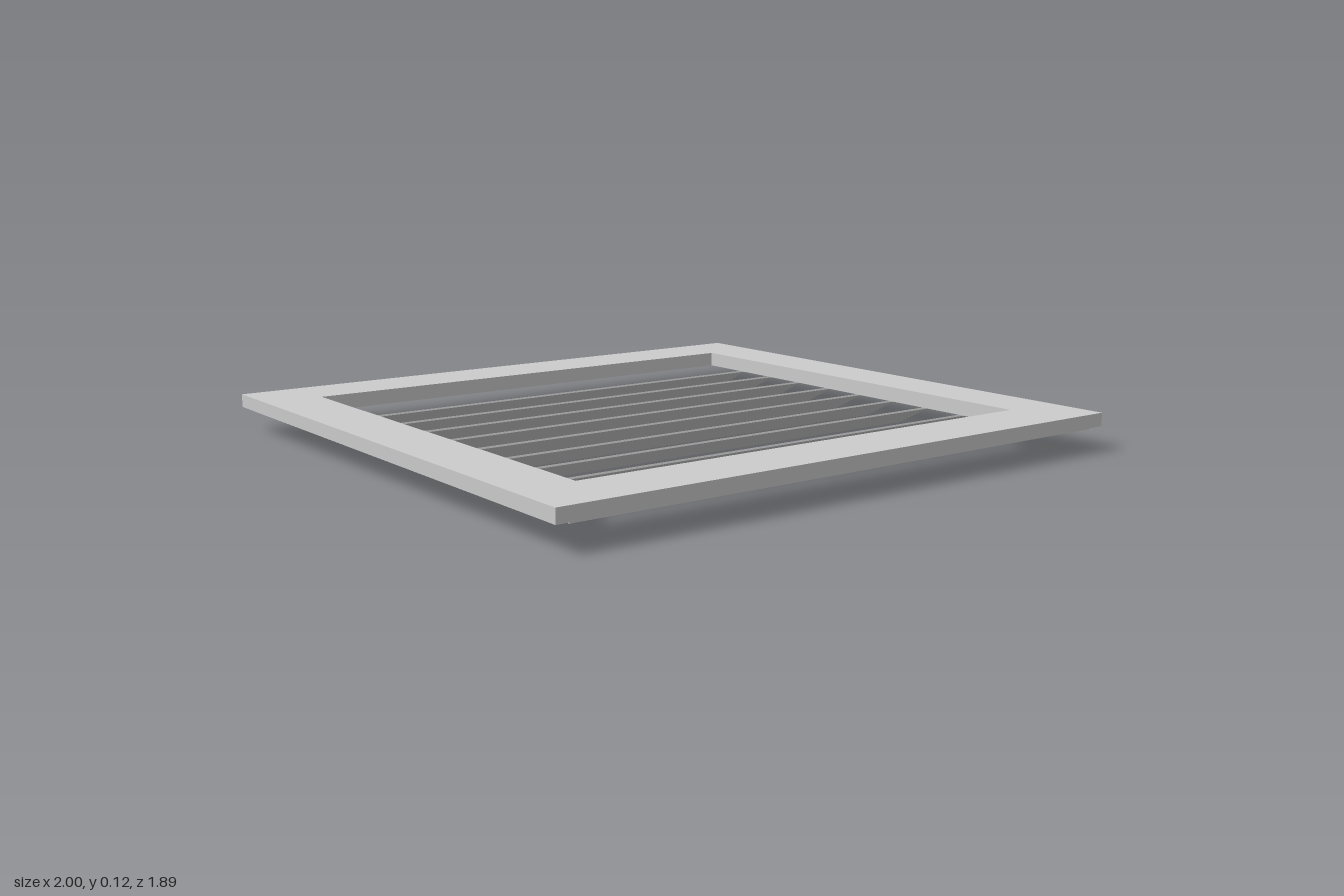
import * as THREE from 'three';

const material = new THREE.MeshStandardMaterial({ color: 0xcccccc, flatShading: true });
const smooth = new THREE.MeshStandardMaterial({ color: 0xcccccc });

// Flat rectangular ring lying in the xz plane, from y0 to y1
function ring(halfX, halfZ, holeX, holeZ, y0, y1) {
  const rect = (Type, x, z) => {
    const p = new Type();
    p.moveTo(-x, -z).lineTo(x, -z).lineTo(x, z).lineTo(-x, z).closePath();
    return p;
  };
  const shape = rect(THREE.Shape, halfX, halfZ);
  shape.holes.push(rect(THREE.Path, holeX, holeZ));
  const geometry = new THREE.ExtrudeGeometry(shape, { depth: y1 - y0, bevelEnabled: false });
  return geometry.rotateX(-Math.PI / 2).translate(0, y0, 0);
}

export function createModel() {
  const group = new THREE.Group();
  const add = (name, geometry, mat = material) => {
    const mesh = new THREE.Mesh(geometry, mat);
    mesh.name = name;
    group.add(mesh);
    return mesh;
  };

  // Frame with a thin gasket beneath it
  add('frame', ring(1, 0.945, 0.81, 0.745, 0.075, 0.117));
  add('gasket', ring(0.955, 0.935, 0.81, 0.745, 0.069, 0.075));

  // Nine tilted louvre slats, high edge towards the front
  const count = 9, pitch = 0.158, tilt = 0.48;
  const slat = new THREE.BoxGeometry(1.66, 0.006, 0.139).rotateX(-tilt);
  slat.computeBoundingBox();
  const slatY = -slat.boundingBox.min.y;
  for (let i = 0; i < count; i++) {
    add('slat', slat).position.set(0, slatY, (i - (count - 1) / 2) * pitch - 0.002);
  }

  // Round mounting studs under the corners
  const stud = new THREE.CylinderGeometry(0.03, 0.03, 0.012, 24);
  for (const x of [-0.905, 0.905]) {
    for (const z of [-0.83, 0.83]) add('stud', stud, smooth).position.set(x, 0.065, z);
  }
  return group;
}
